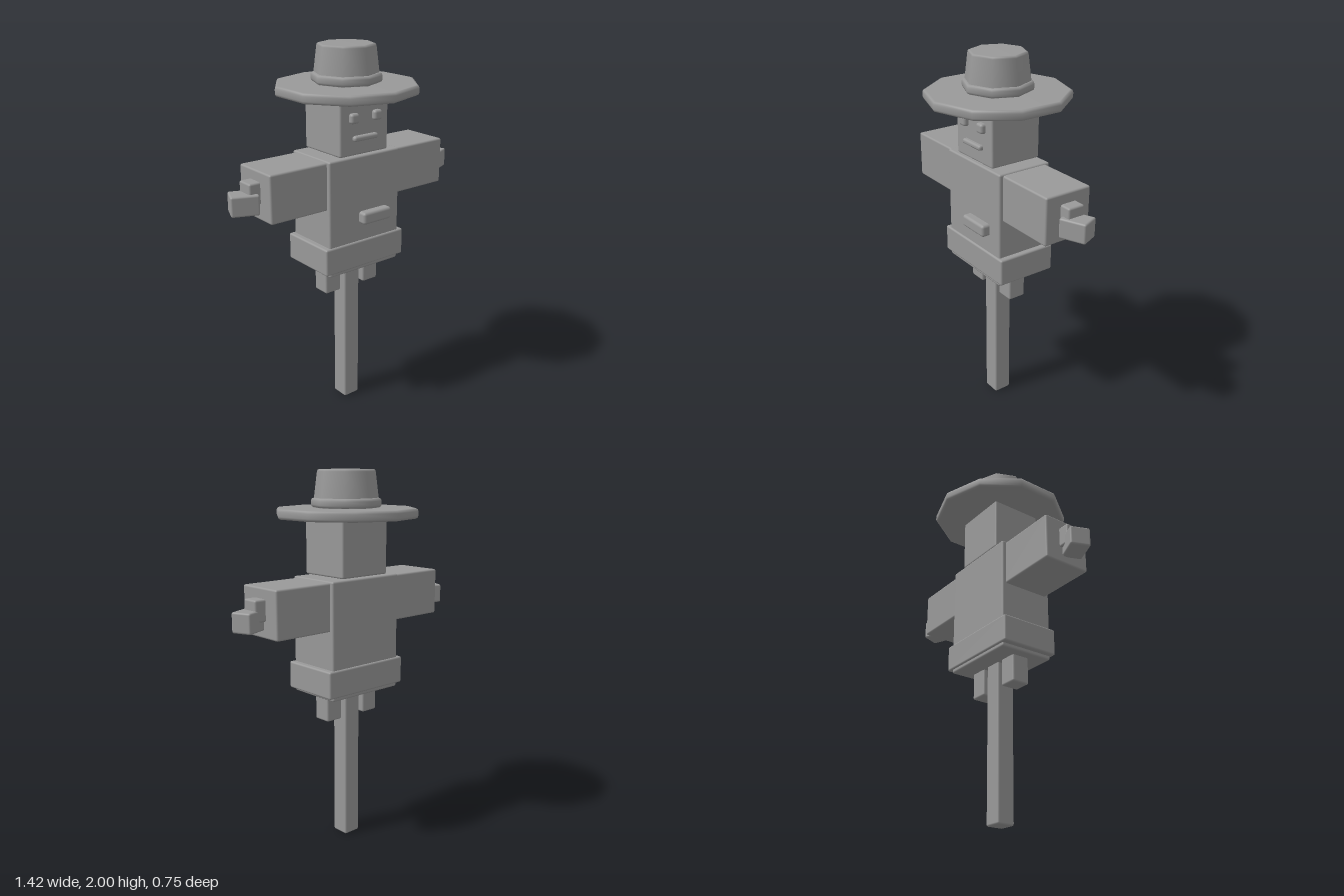
import * as THREE from 'three';
import { RoundedBoxGeometry } from 'three/addons/geometries/RoundedBoxGeometry.js';

const grey = new THREE.MeshStandardMaterial({ color: 0x999999 });
grey.name = 'plain grey';

// Softly bevelled box given by its lower and upper corners
function block(name, [x0, y0, z0], [x1, y1, z1], bevel = 0.01) {
  const geometry = new RoundedBoxGeometry(x1 - x0, y1 - y0, z1 - z0, 2, bevel);
  const mesh = new THREE.Mesh(geometry, grey);
  mesh.name = name;
  mesh.position.set((x0 + x1) / 2, (y0 + y1) / 2, (z0 + z1) / 2);
  return mesh;
}

// Bevelled many-sided disc or taper, with a corner facing the front
function taper(name, sides, y0, y1, r0, r1, bevel) {
  const profile = [
    [0, y0], [r0 - bevel, y0], [r0 - bevel * 0.3, y0 + bevel * 0.3], [r0, y0 + bevel],
    [r1, y1 - bevel], [r1 - bevel * 0.3, y1 - bevel * 0.3], [r1 - bevel, y1], [0, y1],
  ].map(([r, y]) => new THREE.Vector2(r, y));
  const mesh = new THREE.Mesh(new THREE.LatheGeometry(profile, sides), grey);
  mesh.name = name;
  return mesh;
}

export function createModel() {
  const model = new THREE.Group();
  model.name = 'scarecrow';

  // Post and body
  model.add(
    block('post', [-0.05, 0, -0.05], [0.05, 0.9, 0.05]),
    block('torso', [-0.23, 0.84, -0.155], [0.23, 1.46, 0.155]),
    block('shirtHem', [-0.26, 0.86, -0.165], [0.26, 1.005, 0.165]),
    block('pocket', [-0.04, 1.1, 0.13], [0.145, 1.165, 0.2], 0.015),
  );

  // Head and mouth
  model.add(
    block('head', [-0.155, 1.465, -0.145], [0.155, 1.78, 0.145]),
    block('mouth', [-0.077, 1.538, 0.13], [0.077, 1.566, 0.167], 0.012),
  );

  // Wide brim, band and crown of the hat
  model.add(
    taper('hatBrim', 10, 1.755, 1.808, 0.373, 0.373, 0.015),
    taper('hatBand', 8, 1.808, 1.857, 0.182, 0.182, 0.015),
    taper('hatCrown', 8, 1.8, 2, 0.172, 0.15, 0.012),
  );

  // Paired parts: eyes, straw legs, sleeves, wrists and turned hands
  for (const side of [1, -1]) {
    const label = side > 0 ? 'left' : 'right';
    const pair = (name, [x0, y0, z0], [x1, y1, z1], bevel) => {
      const mesh = block(label + name, [x0, y0, z0], [x1, y1, z1], bevel);
      mesh.position.x *= side;
      model.add(mesh);
      return mesh;
    };
    pair('Eye', [0.048, 1.63, 0.13], [0.1, 1.682, 0.17], 0.014);
    pair('Leg', [0.078, 0.695, -0.05], [0.178, 0.88, 0.05]);
    pair('Sleeve', [0.2, 1.205, -0.133], [0.563, 1.453, 0.133]);
    pair('Wrist', [0.52, 1.29, -0.047], [0.623, 1.4, 0.047]);
    const hand = pair('Hand', [0.56, 1.245, -0.053], [0.7, 1.348, 0.053]);
    hand.rotation.y = side * 0.39;
  }

  return model;
}
